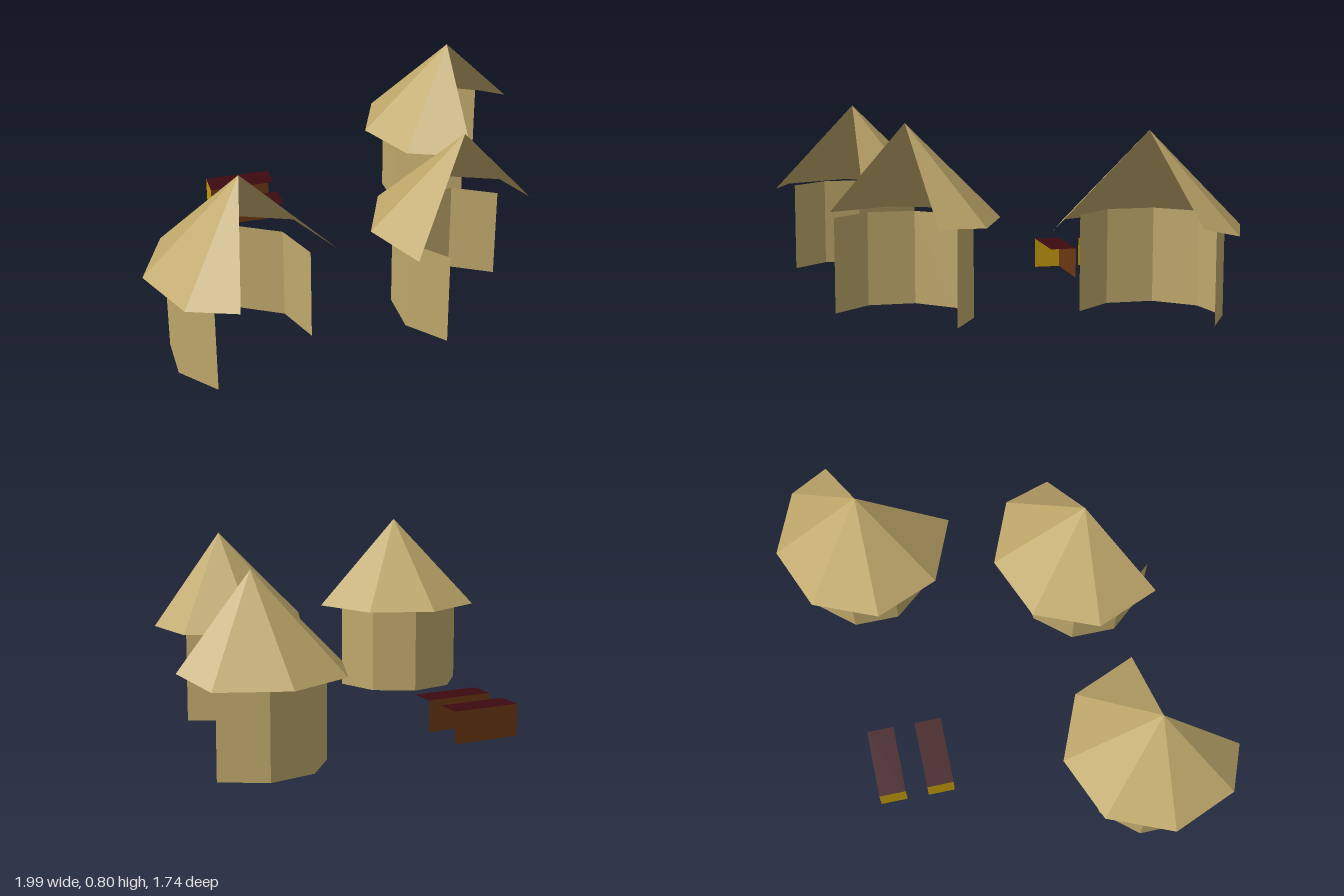
import * as THREE from 'three';

const thatch = new THREE.MeshStandardMaterial({ color: 0xbfa86b, flatShading: true, side: THREE.DoubleSide });
thatch.name = 'thatch';
const maroon = new THREE.MeshStandardMaterial({ color: 0x3c0b10, flatShading: true, side: THREE.DoubleSide });
maroon.name = 'maroon';
const brown = new THREE.MeshStandardMaterial({ color: 0x6c3912, flatShading: true, side: THREE.DoubleSide });
brown.name = 'brown';
const gold = new THREE.MeshStandardMaterial({ color: 0xc2990c, flatShading: true, side: THREE.DoubleSide });
gold.name = 'gold';

const PHASE = 2.3; // shared twist of the layout, in degrees

// Unindexed mesh from a list of triangle corners
function facets(points, material, name) {
  const geometry = new THREE.BufferGeometry().setFromPoints(points);
  geometry.computeVertexNormals();
  const mesh = new THREE.Mesh(geometry, material);
  mesh.name = name;
  return mesh;
}

// Points on a regular polygon, from corner index a to corner index b
function arc(cx, y, cz, radius, sides, a, b) {
  const points = [];
  for (let i = a; i <= b; i++) {
    const t = THREE.MathUtils.degToRad(PHASE + (i * 360) / sides);
    points.push(new THREE.Vector3(cx + radius * Math.cos(t), y, cz + radius * Math.sin(t)));
  }
  return points;
}

// Open cone fan from the apex to a rim line
function roof(apex, rim) {
  const tris = [];
  for (let i = 0; i + 1 < rim.length; i++) tris.push(apex, rim[i + 1], rim[i]);
  return facets(tris, thatch, 'roof');
}

// Upright panels along a ground line
function wall(base, height) {
  const up = new THREE.Vector3(0, height, 0);
  const tris = [];
  for (let i = 0; i + 1 < base.length; i++) {
    const p = base[i], q = base[i + 1];
    const pt = p.clone().add(up), qt = q.clone().add(up);
    tris.push(pt, qt, q, pt, q, p);
  }
  return facets(tris, thatch, 'wall');
}

// Eight-sided roof over a nine-sided wall, both left open at the front;
// the optional extra points are the cut edges
function hut(name, o) {
  const group = new THREE.Group();
  group.name = name;
  const [ax, ay, az] = o.apex;
  const rim = arc(ax, ay - 0.393, az, 0.393, 8, ...o.rimCorners);
  if (o.rimStart) rim.unshift(new THREE.Vector3(...o.rimStart));
  if (o.rimEnd) rim.push(new THREE.Vector3(...o.rimEnd));
  const [wx, wy, wz] = o.wall;
  const base = arc(wx, wy, wz, 0.294, 9, ...o.wallCorners);
  if (o.wallStart) base.unshift(new THREE.Vector3(...o.wallStart));
  group.add(roof(new THREE.Vector3(...o.apex), rim), wall(base, 0.4));
  return group;
}

// Crate made of a lid, a back and one end
function crate(name, x, z) {
  const group = new THREE.Group();
  group.name = name;
  const w = 0.3, h = 0.137, d = 0.118;
  const part = (pw, ph, material, label) => {
    const mesh = new THREE.Mesh(new THREE.PlaneGeometry(pw, ph), material);
    mesh.name = label;
    group.add(mesh);
    return mesh;
  };
  const lid = part(w, d, maroon, 'lid');
  lid.rotation.x = -Math.PI / 2;
  lid.position.y = h;
  const back = part(w, h, brown, 'back');
  back.rotation.y = Math.PI;
  back.position.set(0, h / 2, -d / 2);
  const end = part(d, h, gold, 'end');
  end.rotation.y = -Math.PI / 2;
  end.position.set(-w / 2, h / 2, 0);
  group.position.set(x, 0.018, z);
  group.rotation.y = -THREE.MathUtils.degToRad(PHASE);
  return group;
}

export function createModel() {
  const model = new THREE.Group();
  model.name = 'village';
  model.add(
    hut('rightHut', {
      apex: [-0.605, 0.801, 0.514], rimCorners: [3, 8], rimStart: [-0.7, 0.41, 0.865],
      wall: [-0.621, 0.013, 0.519], wallCorners: [3, 9],
    }),
    hut('frontLeftHut', {
      apex: [0.351, 0.798, 0.453], rimCorners: [3, 7], rimEnd: [0.69, 0.416, 0.39],
      wall: [0.352, 0, 0.472], wallCorners: [3, 8],
    }),
    hut('backLeftHut', {
      apex: [0.645, 0.775, -0.478], rimCorners: [2, 7], rimEnd: [0.997, 0.425, -0.57],
      wall: [0.652, 0.021, -0.491], wallCorners: [3, 8], wallStart: [0.628, 0.021, -0.198],
    }),
    crate('backCrate', -0.335, -0.608),
    crate('frontCrate', -0.346, -0.395),
  );
  return model;
}
